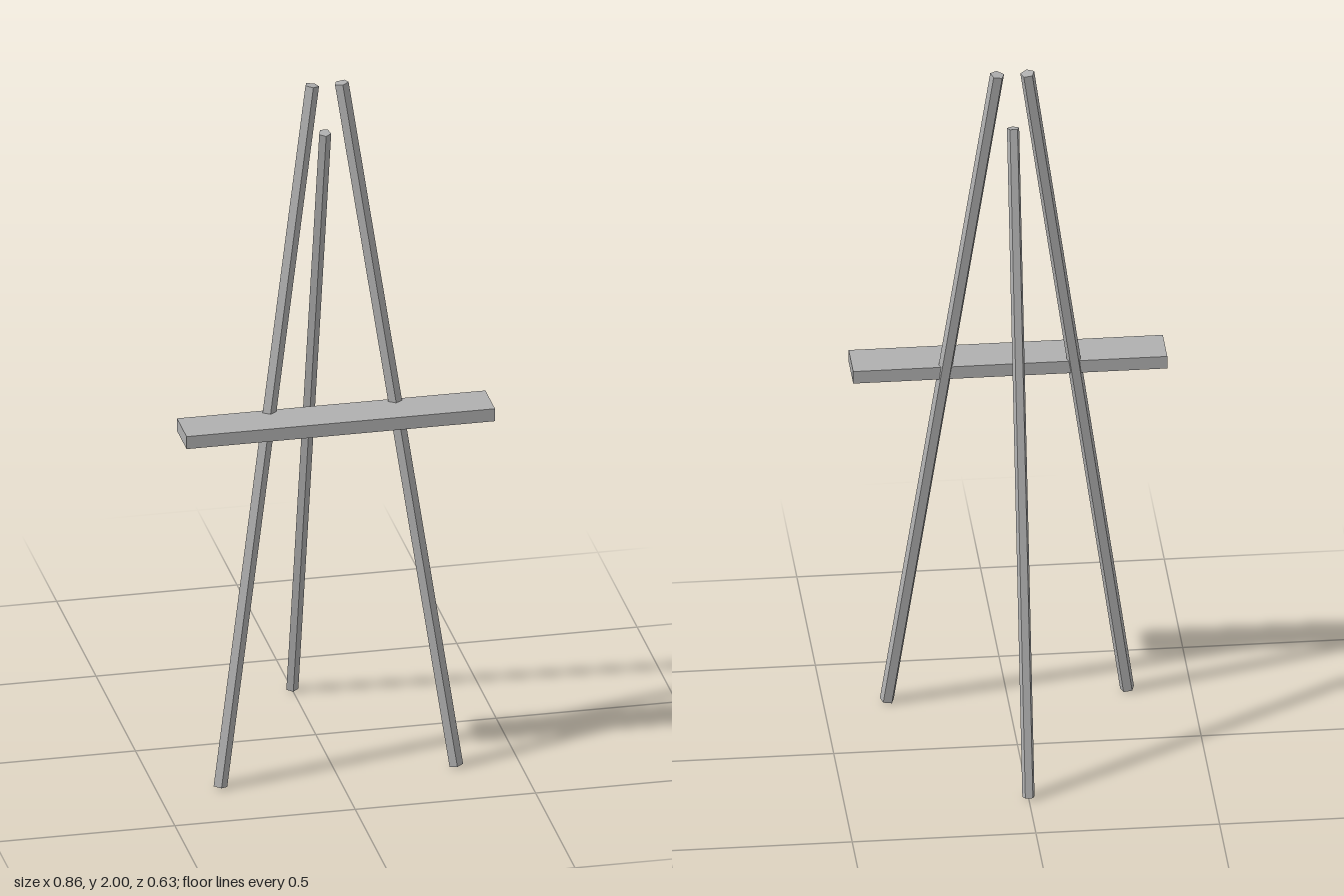
import * as THREE from 'three';

export function createModel() {
  const model = new THREE.Group();
  model.name = 'easel';

  const gray = new THREE.MeshStandardMaterial({ color: 0xb0b0b0, flatShading: true });
  gray.name = 'gray';

  // Five-sided pole between two end points
  function pole(name, radius, bottom, top) {
    const a = new THREE.Vector3(...bottom);
    const b = new THREE.Vector3(...top);
    const axis = b.clone().sub(a);
    const mesh = new THREE.Mesh(new THREE.CylinderGeometry(radius, radius, axis.length(), 5), gray);
    mesh.name = name;
    mesh.position.copy(a).add(b).multiplyScalar(0.5);
    mesh.quaternion.setFromUnitVectors(new THREE.Vector3(0, 1, 0), axis.normalize());
    model.add(mesh);
  }

  // Mirrored front legs and the shorter rear leg
  for (const [side, name] of [[1, 'frontLegLeft'], [-1, 'frontLegRight']]) {
    pole(name, 0.02, [side * 0.327, 0.004, 0.28], [side * 0.041, 1.997, 0.136]);
  }
  pole('rearLeg', 0.0175, [0, 0.004, -0.303], [0, 1.842, 0.114]);

  // Tray resting across the front legs
  const tray = new THREE.Mesh(new THREE.BoxGeometry(0.855, 0.037, 0.122), gray);
  tray.name = 'tray';
  tray.position.set(0, 1.051, 0.256);
  model.add(tray);

  return model;
}
